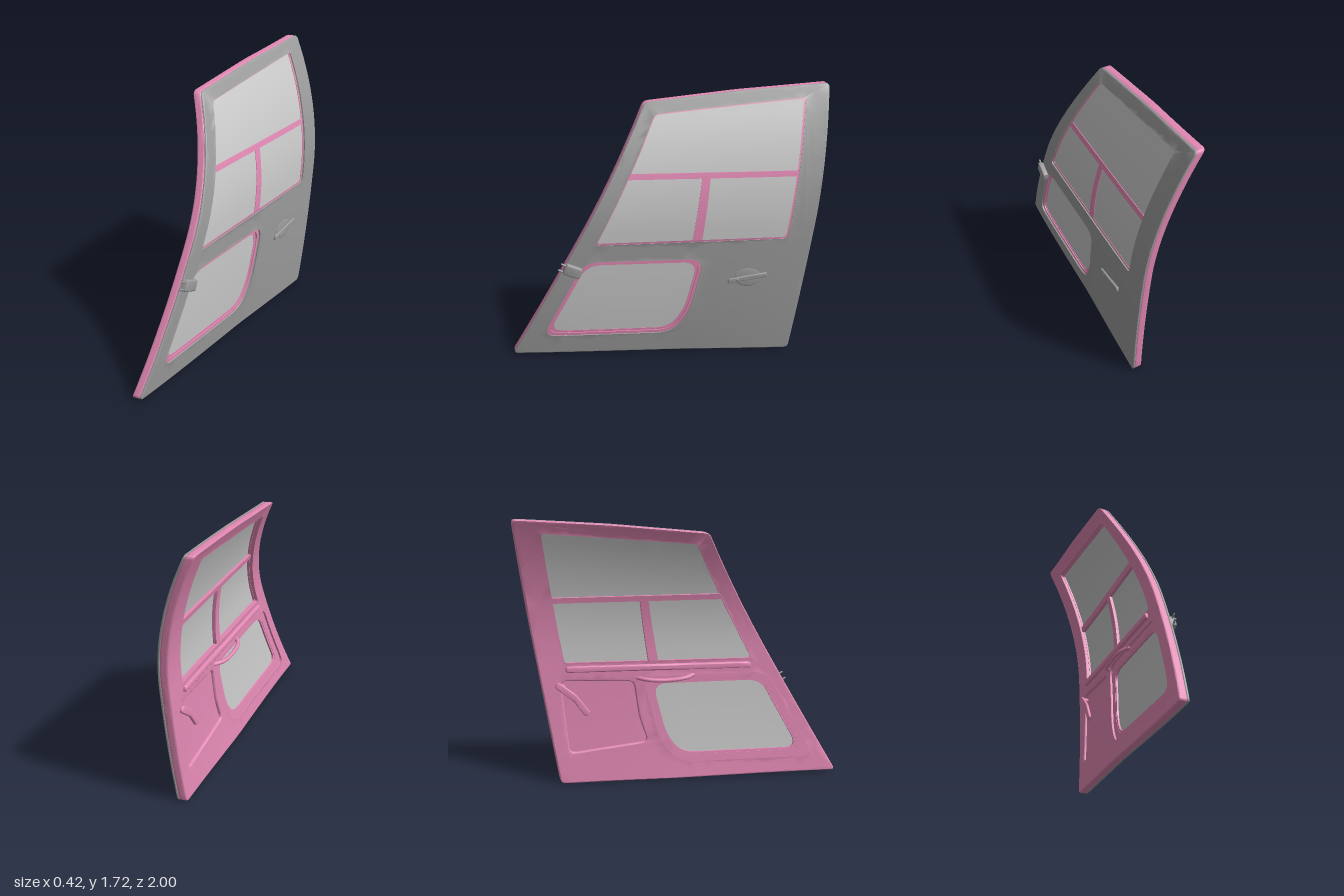
import * as THREE from 'three';
import { toCreasedNormals } from 'three/addons/utils/BufferGeometryUtils.js';

const grey = new THREE.MeshStandardMaterial({ color: 0xcccccc, side: THREE.DoubleSide });
const paint = new THREE.MeshStandardMaterial({ color: 0x9c9c9c, side: THREE.DoubleSide });
const pink = new THREE.MeshStandardMaterial({ color: 0xe48ab5, side: THREE.DoubleSide });

// Outer face of the curved door: x for a given height and depth
function surfaceX(y, z) {
  const d = y - 0.85, up = Math.max(0, d);
  const tuck = d > 0 ? 0.285 : 0.075 - 0.045 * Math.max(0, -z);
  const twist = -0.068 * up * up * (z + 1);
  return 0.085 - tuck * d * d - 0.155 * z - 0.012 * z ** 4 + twist;
}

// Move every edge of a [z, y] outline inwards by d
function inset(pts, d) {
  const n = pts.length;
  const area = pts.reduce((s, p, i) => {
    const q = pts[(i + 1) % n];
    return s + p[0] * q[1] - q[0] * p[1];
  }, 0);
  const sign = Math.sign(area);
  const normal = (p, q) => {
    const l = Math.hypot(q[0] - p[0], q[1] - p[1]);
    return [-sign * (q[1] - p[1]) / l, sign * (q[0] - p[0]) / l];
  };
  return pts.map((p, i) => {
    const a = normal(pts[(i + n - 1) % n], p), b = normal(p, pts[(i + 1) % n]);
    const k = d / (1 + a[0] * b[0] + a[1] * b[1]);
    return [p[0] + (a[0] + b[0]) * k, p[1] + (a[1] + b[1]) * k];
  });
}

// Trace a [z, y] outline with rounded corners
function trace(path, pts, r) {
  const v = pts.map(([z, y]) => new THREE.Vector2(-z, y));
  const n = v.length;
  const toward = (p, q) => p.clone().lerp(q, Math.min(0.45, r / p.distanceTo(q)));
  v.forEach((p, i) => {
    const a = toward(p, v[(i + n - 1) % n]), b = toward(p, v[(i + 1) % n]);
    if (i === 0) path.moveTo(a.x, a.y); else path.lineTo(a.x, a.y);
    path.quadraticCurveTo(p.x, p.y, b.x, b.y);
  });
  path.closePath();
  return path;
}

// Split long edges so flat panels can follow the curve
function subdivide(geo, maxLen) {
  const src = (geo.index ? geo.toNonIndexed() : geo).attributes.position;
  const out = [];
  const split = (a, b, c) => {
    const ab = a.distanceTo(b), bc = b.distanceTo(c), ca = c.distanceTo(a);
    const longest = Math.max(ab, bc, ca);
    if (longest <= maxLen) {
      out.push(...a.toArray(), ...b.toArray(), ...c.toArray());
      return;
    }
    // Turn the corners so that p-q is the longest edge
    const [p, q, o] = longest === ab ? [a, b, c] : longest === bc ? [b, c, a] : [c, a, b];
    const mid = p.clone().add(q).multiplyScalar(0.5);
    split(p, mid, o);
    split(mid, q, o);
  };
  const at = i => new THREE.Vector3().fromBufferAttribute(src, i);
  for (let i = 0; i < src.count; i += 3) split(at(i), at(i + 1), at(i + 2));
  const g = new THREE.BufferGeometry();
  g.setAttribute('position', new THREE.Float32BufferAttribute(out, 3));
  return g;
}

// Curved slab between two offsets from the outer face
function panel(name, pts, x0, x1, material, { r = 0.02, holes = [], bevel = 0 } = {}) {
  const shape = trace(new THREE.Shape(), pts, r);
  holes.forEach(h => shape.holes.push(trace(new THREE.Path(), h.pts, h.r)));
  const flat = new THREE.ExtrudeGeometry(shape, {
    depth: x1 - x0 - 2 * bevel, curveSegments: 8, bevelEnabled: bevel > 0,
    bevelThickness: bevel, bevelSize: bevel, bevelOffset: -bevel, bevelSegments: 3,
  });
  const g = subdivide(flat, 0.09);
  const p = g.attributes.position;
  for (let i = 0; i < p.count; i++) {
    const z = -p.getX(i), y = p.getY(i), d = p.getZ(i) + x0 + bevel;
    p.setXYZ(i, surfaceX(y, z) + d, y, z);
  }
  const mesh = new THREE.Mesh(toCreasedNormals(g, 0.65), material);
  mesh.name = name;
  return mesh;
}

// Round bar through [z, y, offset] points, with round ends
function bar(name, pts, radius, material) {
  const group = new THREE.Group();
  group.name = name;
  const v = pts.map(([z, y, d]) => new THREE.Vector3(surfaceX(y, z) + d, y, z));
  group.add(new THREE.Mesh(new THREE.TubeGeometry(new THREE.CatmullRomCurve3(v), 24, radius, 10), material));
  for (const end of [v[0], v[v.length - 1]]) {
    const cap = new THREE.Mesh(new THREE.SphereGeometry(radius, 10, 8), material);
    cap.position.copy(end);
    group.add(cap);
  }
  return group;
}

export function createModel() {
  const door = new THREE.Group();
  door.name = 'door';

  // Outlines in [z, y]
  const outline = [[1.01, 0.015], [0.125, 1.62], [-0.45, 1.68], [-1.005, 1.72], [-0.87, 0.8], [-0.755, 0]];
  const upper = [[0.485, 0.77], [0.075, 1.56], [-0.4, 1.605], [-0.855, 1.645], [-0.715, 0.78]];
  const lower = [[0.83, 0.135], [0.55, 0.668], [-0.2, 0.668], [-0.11, 0.28], [0.0, 0.135]];
  const pocket = [[-0.69, 0.2], [-0.73, 0.68], [-0.28, 0.66], [-0.25, 0.42], [-0.2, 0.26]];
  const surround = inset(lower, -0.03);

  // Shell
  door.add(panel('outerSkin', outline, -0.014, 0, paint, {
    r: 0.03, bevel: 0.005,
    holes: [{ pts: upper, r: 0.03 }, { pts: lower, r: 0.1 }],
  }));
  door.add(panel('innerFrame', outline, -0.062, -0.012, pink, {
    r: 0.03, bevel: 0.008,
    holes: [{ pts: inset(upper, 0.005), r: 0.03 }, { pts: surround, r: 0.1 }, { pts: pocket, r: 0.04 }],
  }));
  door.add(panel('pocketBack', inset(pocket, -0.01), -0.045, -0.035, pink, { r: 0.04 }));
  door.add(panel('lowerWindowSurround', inset(surround, -0.005), -0.044, -0.013, pink, {
    r: 0.1, holes: [{ pts: inset(lower, 0.02), r: 0.09 }],
  }));

  // Glazing with its seals and bars
  const sealed = [
    ['upper', upper, -0.024, 0.03, 0.009],
    ['lower', lower, -0.03, 0.1, 0.034],
  ];
  for (const [name, pts, x, r, w] of sealed) {
    door.add(panel(name + 'Glass', inset(pts, 0.006), x, x + 0.006, grey, { r }));
    door.add(panel(name + 'Seal', inset(pts, 0.002), x - 0.012, x + 0.009, pink, {
      r, holes: [{ pts: inset(pts, w), r: r * 0.9 }],
    }));
  }
  door.add(panel('crossBar', [[0.265, 1.178], [0.245, 1.213], [-0.785, 1.213], [-0.78, 1.178]], -0.045, -0.014, pink, { r: 0.002 }));
  door.add(panel('windowDivider', [[-0.122, 0.775], [-0.19, 1.19], [-0.24, 1.19], [-0.182, 0.775]], -0.045, -0.015, pink, { r: 0.002 }));

  // Inside trim
  door.add(panel('beltLedge', [[0.46, 0.725], [0.45, 0.765], [-0.7, 0.775], [-0.7, 0.735]], -0.082, -0.055, pink, { r: 0.015, bevel: 0.01 }));
  door.add(bar('grabHandle', [[-0.26, 0.68, -0.05], [-0.2, 0.675, -0.09], [-0.08, 0.67, -0.1], [0.04, 0.68, -0.09], [0.1, 0.69, -0.05]], 0.013, pink));
  door.add(panel('innerLever', [[-0.775, 0.645], [-0.75, 0.68], [-0.64, 0.59], [-0.555, 0.47], [-0.59, 0.445], [-0.66, 0.55]], -0.085, -0.065, pink, { r: 0.02, bevel: 0.006 }));
  door.add(bar('leverPivot', [[-0.72, 0.64, -0.04], [-0.72, 0.64, -0.07]], 0.016, pink));

  // Outside handle
  const cup = new THREE.Mesh(new THREE.SphereGeometry(1, 28, 16), paint);
  cup.name = 'handleCup';
  cup.scale.set(0.006, 0.064, 0.085);
  cup.position.set(surfaceX(0.53, -0.47), 0.53, -0.47);
  cup.rotation.y = -0.15;
  door.add(cup);
  door.add(panel('handleGrip', [[-0.34, 0.494], [-0.345, 0.525], [-0.585, 0.565], [-0.59, 0.535]], 0.004, 0.02, paint, { r: 0.01, bevel: 0.005 }));
  door.add(bar('handlePost', [[-0.4, 0.52, -0.005], [-0.4, 0.52, 0.012]], 0.012, paint));

  // Bracket on the leading edge
  door.add(panel('edgeBracket', [[0.685, 0.6], [0.655, 0.665], [0.56, 0.625], [0.585, 0.56]], -0.01, 0.034, paint, { r: 0.012, bevel: 0.008 }));
  for (const [z, y] of [[0.68, 0.61], [0.66, 0.65]]) {
    door.add(bar('bracketPin', [[z - 0.02, y - 0.01, 0.012], [z + 0.025, y + 0.012, 0.012]], 0.006, paint));
  }
  return door;
}
